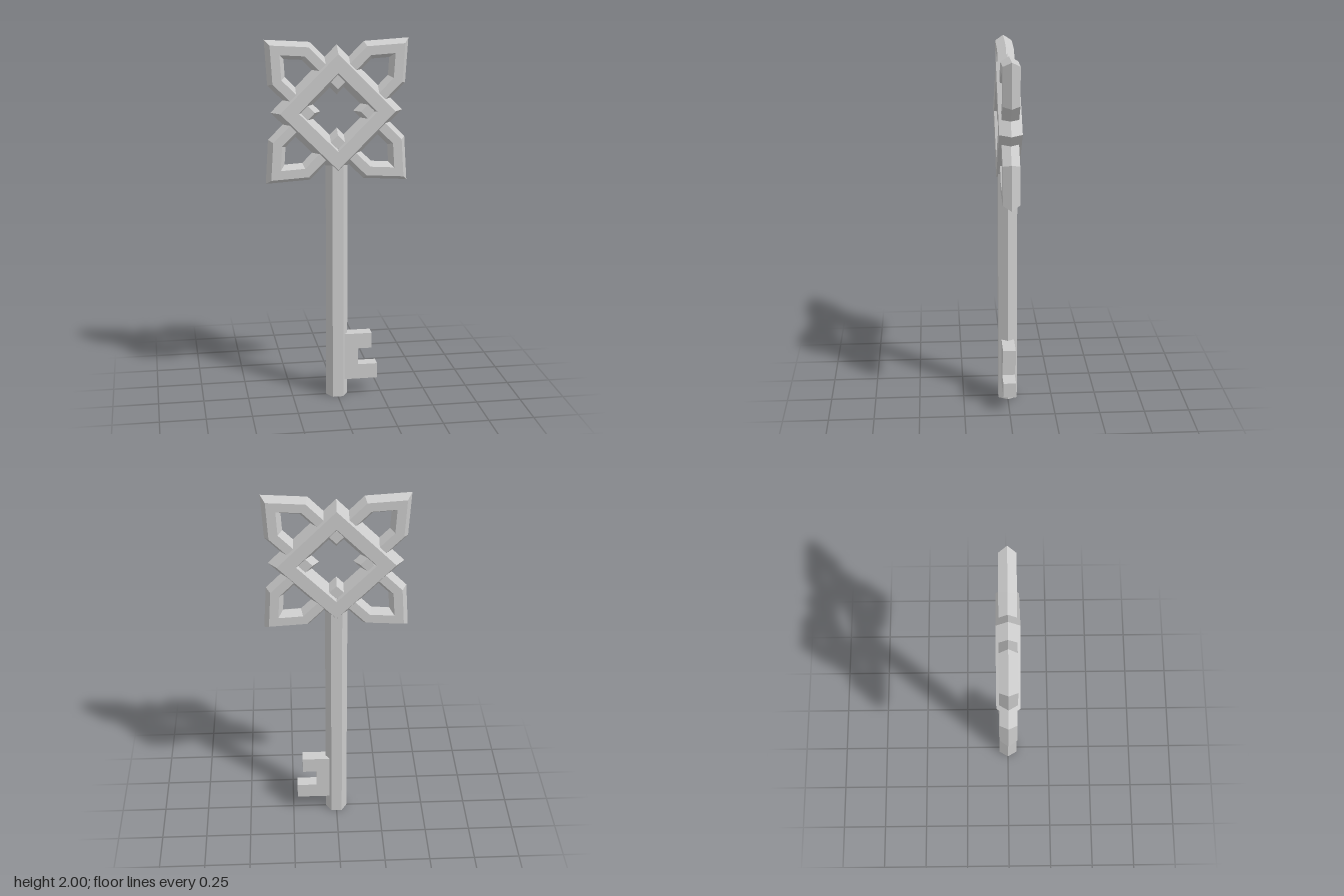
import * as THREE from 'three';

const material = new THREE.MeshStandardMaterial({ color: 0xcccccc, flatShading: true });
const HEAD_Y = 1.615;

// Repeat a quarter of a clockwise outline four times around the origin
function fourfold(quarter) {
  const points = [];
  let part = quarter;
  for (let k = 0; k < 4; k++) {
    points.push(...part);
    part = part.map(([x, y]) => [y, -x]);
  }
  return points.map(([x, y]) => new THREE.Vector2(x, y));
}

// Closed mitred band of hexagonal section; the outline is its outer ridge, clockwise
function bandGeometry(outline, width, bevel, halfDepth) {
  const profile = [
    [0, 0], [bevel, halfDepth], [width - bevel, halfDepth],
    [width, 0], [width - bevel, -halfDepth], [bevel, -halfDepth],
  ];
  const n = outline.length;
  const inward = (a, b) => new THREE.Vector2(b.y - a.y, a.x - b.x).normalize();
  const rings = outline.map((p, i) => {
    const n1 = inward(outline[(i + n - 1) % n], p);
    const n2 = inward(p, outline[(i + 1) % n]);
    const miter = n1.clone().add(n2).divideScalar(1 + n1.dot(n2));
    return profile.map(([d, z]) => [p.x + miter.x * d, p.y + miter.y * d, z]);
  });
  const positions = [];
  for (let i = 0; i < n; i++) {
    for (let j = 0; j < 6; j++) {
      const a = rings[i][j], b = rings[i][(j + 1) % 6];
      const c = rings[(i + 1) % n][j], d = rings[(i + 1) % n][(j + 1) % 6];
      positions.push(...a, ...b, ...c, ...b, ...d, ...c);
    }
  }
  const geometry = new THREE.BufferGeometry();
  geometry.setAttribute('position', new THREE.Float32BufferAttribute(positions, 3));
  geometry.computeVertexNormals();
  return geometry;
}

export function createModel() {
  const model = new THREE.Group();
  model.name = 'key';
  const add = (name, geometry, y = 0) => {
    const mesh = new THREE.Mesh(geometry, material);
    mesh.name = name;
    mesh.position.y = y;
    model.add(mesh);
  };

  // Head: a diamond frame interlaced with a four-petalled loop
  add('diamondFrame', bandGeometry(fourfold([[0, 0.355]]), 0.134, 0.032, 0.06), HEAD_Y);
  add('petalLoop', bandGeometry(
    fourfold([[0, 0.225], [0.145, 0.37], [0.385, 0.385], [0.37, 0.145]]),
    0.096, 0.024, 0.045), HEAD_Y);

  // Hexagonal shaft with edges pointing left and right
  const shaftHeight = 1.36;
  const shaft = new THREE.CylinderGeometry(0.06, 0.06, shaftHeight, 6);
  shaft.rotateY(Math.PI / 6);
  add('shaft', shaft, shaftHeight / 2);

  // Bit with two teeth
  const bit = new THREE.Shape([
    [0.02, 0.095], [0.225, 0.095], [0.225, 0.18], [0.115, 0.18],
    [0.115, 0.275], [0.193, 0.275], [0.193, 0.363], [0.02, 0.363],
  ].map(([x, y]) => new THREE.Vector2(x, y)));
  const bitGeometry = new THREE.ExtrudeGeometry(bit, { depth: 0.07, bevelEnabled: false });
  bitGeometry.translate(0, 0, -0.035);
  add('bit', bitGeometry);

  return model;
}
